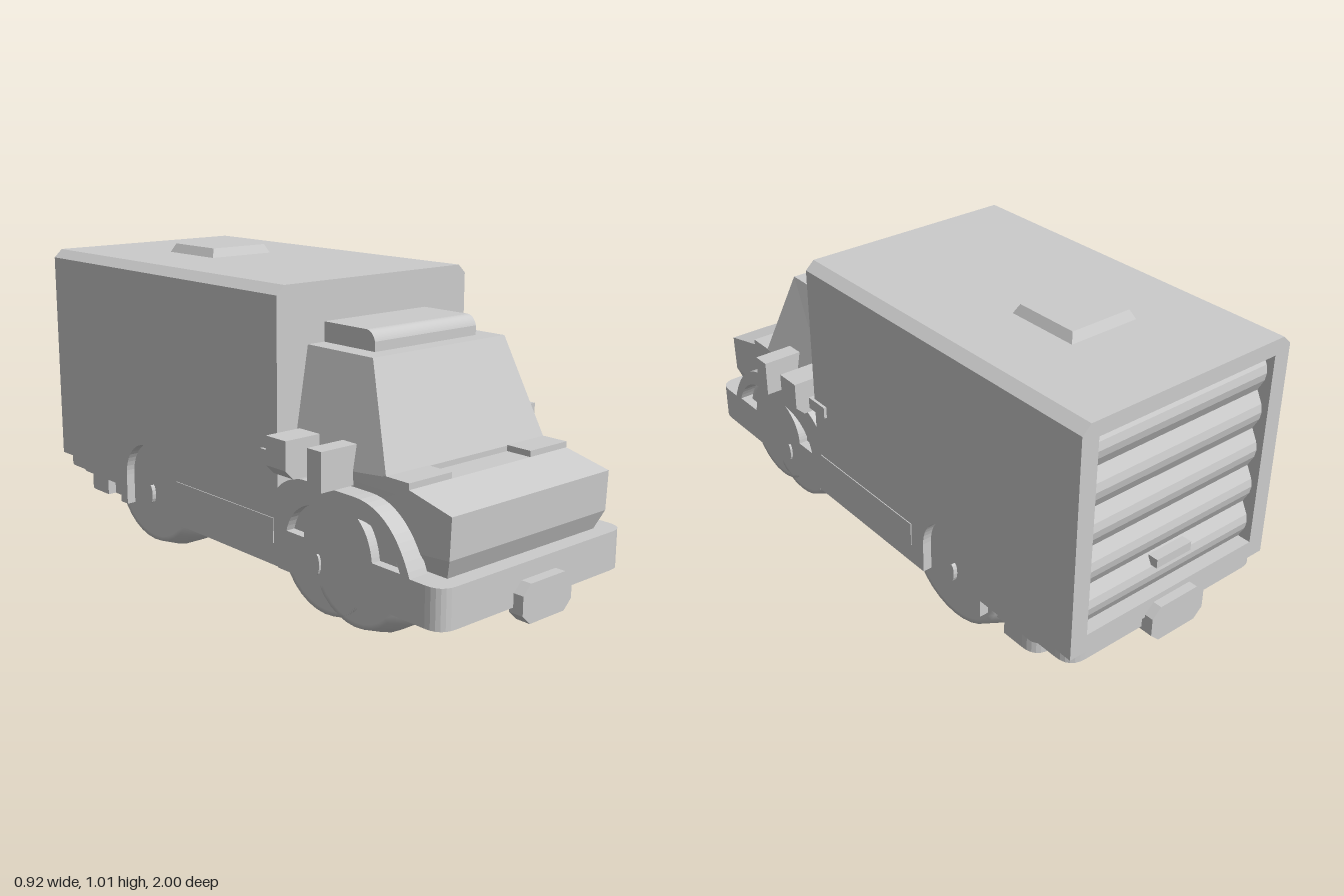
import * as THREE from 'three';

const mat = new THREE.MeshStandardMaterial({ color: 0xcccccc, flatShading: true, side: THREE.DoubleSide });
const smoothMat = new THREE.MeshStandardMaterial({ color: 0xcccccc, side: THREE.DoubleSide });

export function createModel() {
  const root = new THREE.Group();

  const add = (name, geo, material = mat) => {
    const mesh = new THREE.Mesh(geo, material);
    mesh.name = name;
    root.add(mesh);
    return mesh;
  };
  // Box given by its limits on each axis
  const box = (name, x0, x1, y0, y1, z0, z1) =>
    add(name, new THREE.BoxGeometry(x1 - x0, y1 - y0, z1 - z0)
      .translate((x0 + x1) / 2, (y0 + y1) / 2, (z0 + z1) / 2));
  const poly = (pts) => new THREE.Shape(pts.map(([a, b]) => new THREE.Vector2(a, b)));
  // Outline in (x, y), from z0 to z1
  const alongZ = (shape, z0, z1) =>
    new THREE.ExtrudeGeometry(shape, { depth: z1 - z0, bevelEnabled: false }).translate(0, 0, z0);
  // Outline in (z, y), from x0 to x1
  const alongX = (shape, x0, x1) =>
    new THREE.ExtrudeGeometry(shape, { depth: x1 - x0, bevelEnabled: false, curveSegments: 12 })
      .rotateY(-Math.PI / 2).translate(x1, 0, 0);
  // Outline in (x, z), from y0 to y1
  const alongY = (shape, y0, y1) =>
    new THREE.ExtrudeGeometry(shape, { depth: y1 - y0, bevelEnabled: false, curveSegments: 6 })
      .rotateX(Math.PI / 2).translate(0, y1, 0);
  // Moves vertices by a rule
  const warp = (geo, rule) => {
    const p = geo.attributes.position;
    const v = new THREE.Vector3();
    for (let i = 0; i < p.count; i++) {
      rule(v.fromBufferAttribute(p, i));
      p.setXYZ(i, v.x, v.y, v.z);
    }
    geo.computeVertexNormals();
    return geo;
  };

  // Cargo box: upper shell, narrow lower core and rear door frame
  const shellOutline = (y0) => poly([[-0.4, y0], [0.4, y0], [0.4, 0.957], [0.37, 0.985], [-0.37, 0.985], [-0.4, 0.957]]);
  add('cargoBox', alongZ(shellOutline(0.45), -0.9, 0.29));
  box('cargoCore', -0.36, 0.36, 0.13, 0.45, -0.81, 0.29);
  box('cargoFloor', -0.36, 0.36, 0.23, 0.45, -0.9, -0.81);
  const frame = shellOutline(0.23);
  frame.holes.push(poly([[-0.34, 0.29], [-0.34, 0.935], [0.34, 0.935], [0.34, 0.29]]));
  add('rearDoorFrame', alongZ(frame, -0.97, -0.9));

  // Roller door with bulging slats and a handle
  const slats = 5, slatHeight = 0.645 / slats;
  for (let i = 0; i < slats; i++) {
    const y = 0.29 + i * slatHeight;
    add('doorSlat', alongX(poly([
      [-0.9, y], [-0.925, y], [-0.945, y + slatHeight * 0.3],
      [-0.95, y + slatHeight * 0.5], [-0.945, y + slatHeight * 0.7],
      [-0.925, y + slatHeight], [-0.9, y + slatHeight]]), -0.34, 0.34));
  }
  box('doorHandle', -0.07, 0.07, 0.385, 0.415, -0.965, -0.93);

  // Roof hatch
  add('roofHatch', warp(new THREE.BoxGeometry(0.25, 0.03, 0.25).translate(0, 1, -0.51), (v) => {
    if (v.y > 1) { v.x *= 0.88; v.z = -0.51 + (v.z + 0.51) * 0.88; }
  }));

  // Front chassis with rounded bumper corners, rear ledge with the same
  const plan = (zEnd, zStart, halfWidth, r) => {
    const s = new THREE.Shape(), d = Math.sign(zEnd - zStart);
    s.moveTo(-halfWidth, zStart);
    s.lineTo(-halfWidth, zEnd - d * r);
    s.quadraticCurveTo(-halfWidth, zEnd, -halfWidth + r, zEnd);
    s.lineTo(halfWidth - r, zEnd);
    s.quadraticCurveTo(halfWidth, zEnd, halfWidth, zEnd - d * r);
    s.lineTo(halfWidth, zStart);
    return s;
  };
  add('frontBumper', alongY(plan(0.965, 0.29, 0.4, 0.06), 0.127, 0.25));
  add('rearBumper', alongY(plan(-0.96, -0.7, 0.39, 0.06), 0.19, 0.23));
  add('rearChassis', alongY(plan(-0.82, -0.68, 0.39, 0.06), 0.13, 0.19));

  // Octagonal plates on both bumpers
  const plate = (y) => poly([[-0.107, y - 0.03], [-0.075, y - 0.06], [0.075, y - 0.06], [0.107, y - 0.03],
    [0.107, y + 0.03], [0.075, y + 0.06], [-0.075, y + 0.06], [-0.107, y + 0.03]]);
  add('frontPlate', alongZ(plate(0.14), 0.95, 1));
  add('rearPlate', alongZ(plate(0.21), -1, -0.95));

  // Slats hanging under both ends
  for (const [z, y] of [[0.9, 0.1], [0.82, 0.11], [-0.66, 0.085], [-0.77, 0.1], [-0.83, 0.1]])
    box('underSlat', -0.12, 0.12, y, 0.2, z - 0.014, z + 0.014);

  // Hood, narrowing at its lower edge
  add('hood', warp(alongX(poly([[0.29, 0.25], [0.91, 0.25], [0.935, 0.31], [0.94, 0.435],
    [0.78, 0.473], [0.29, 0.473]]), -0.34, 0.34), (v) => {
    if (v.y < 0.26) v.x *= 0.94;
  }));

  // Cab with leaning windshield and sides
  add('cab', warp(alongX(poly([[0.29, 0.45], [0.69, 0.45], [0.69, 0.49], [0.57, 0.8], [0.29, 0.8]]), -0.34, 0.34), (v) => {
    if (v.y > 0.7) v.x *= 0.28 / 0.34;
  }));
  const fairing = new THREE.Shape();
  fairing.moveTo(0.29, 0.79);
  fairing.lineTo(0.51, 0.79);
  fairing.lineTo(0.51, 0.83);
  fairing.quadraticCurveTo(0.5, 0.86, 0.475, 0.862);
  fairing.lineTo(0.29, 0.862);
  add('roofFairing', alongX(fairing, -0.215, 0.215));

  // Tyre section as (radius, offset across the width)
  const tyre = [[0, -0.107], [0.17, -0.107], [0.185, -0.107], [0.21, -0.04],
    [0.21, 0.04], [0.185, 0.107], [0.17, 0.107], [0, 0.107]].map(([r, w]) => new THREE.Vector2(r, w));

  for (const side of [-1, 1]) {
    const name = side > 0 ? 'left' : 'right';
    const span = (a, b) => (side > 0 ? [a, b] : [-b, -a]);

    // Lower side panel with an open rear wheel arch
    const panel = new THREE.Shape();
    panel.moveTo(0.29, 0.13);
    panel.lineTo(0.29, 0.45);
    panel.lineTo(-0.9, 0.45);
    panel.lineTo(-0.9, 0.23);
    panel.lineTo(-0.81, 0.19);
    panel.lineTo(-0.58, 0.19);
    panel.lineTo(-0.58, 0.13);
    panel.lineTo(-0.54, 0.13);
    panel.lineTo(-0.54, 0.235);
    panel.absellipse(-0.42, 0.235, 0.12, 0.13, Math.PI, 0, true);
    panel.lineTo(-0.3, 0.13);
    add(name + 'SidePanel', alongX(panel, ...span(0.36, 0.4)));
    box(name + 'SideSkirt', ...span(0.39, 0.403), 0.2, 0.28, -0.24, 0.27);

    // Front fender with two curved cut-outs around the wheels
    const fender = new THREE.Shape();
    fender.moveTo(0.29, 0.24);
    fender.lineTo(0.85, 0.24);
    fender.bezierCurveTo(0.81, 0.35, 0.74, 0.43, 0.62, 0.43);
    fender.lineTo(0.4, 0.43);
    fender.quadraticCurveTo(0.33, 0.42, 0.29, 0.38);
    const frontCut = new THREE.Path();
    frontCut.moveTo(0.81, 0.255);
    frontCut.quadraticCurveTo(0.76, 0.37, 0.64, 0.37);
    frontCut.quadraticCurveTo(0.69, 0.33, 0.7, 0.255);
    const backCut = new THREE.Path();
    backCut.moveTo(0.33, 0.255);
    backCut.quadraticCurveTo(0.36, 0.36, 0.49, 0.37);
    backCut.quadraticCurveTo(0.41, 0.33, 0.41, 0.255);
    fender.holes.push(frontCut, backCut);
    add(name + 'Fender', alongX(fender, ...span(0.33, 0.4)));

    // Paired front wheels and one longer rear wheel
    for (const [z, stretch] of [[0.6, 1.02], [0.47, 1.05], [-0.42, 1.12]]) {
      const wheel = new THREE.LatheGeometry(tyre, 32).rotateZ(Math.PI / 2).scale(1, 1, stretch);
      const mesh = add(name + 'Wheel', wheel, smoothMat);
      mesh.position.set(side * 0.262, 0.21, z);
    }
    for (const [z, x] of [[0.475, 0.405], [-0.42, 0.38]]) {
      const hub = new THREE.CylinderGeometry(0.012, 0.012, 0.03, 12).rotateZ(Math.PI / 2).scale(1, 2.6, 1);
      add(name + 'Hub', hub).position.set(side * (x - 0.012), 0.19, z);
    }

    // Raised hood corner
    box(name + 'HoodCorner', ...span(0.17, 0.34), 0.45, 0.492, 0.68, 0.78);

    // Mirror and the clipped block behind it, with its rear bracket
    box(name + 'Mirror', ...span(0.32, 0.46), 0.435, 0.555, 0.495, 0.555);
    add(name + 'SideBlock', alongZ(poly([[0.33, 0.435], [0.43, 0.435], [0.46, 0.465], [0.46, 0.555], [0.33, 0.555]]
      .map(([x, y]) => [side * x, y])), 0.31, 0.4));
    box(name + 'BlockBracket', ...span(0.39, 0.41), 0.45, 0.49, 0.22, 0.37);
  }

  return root;
}
